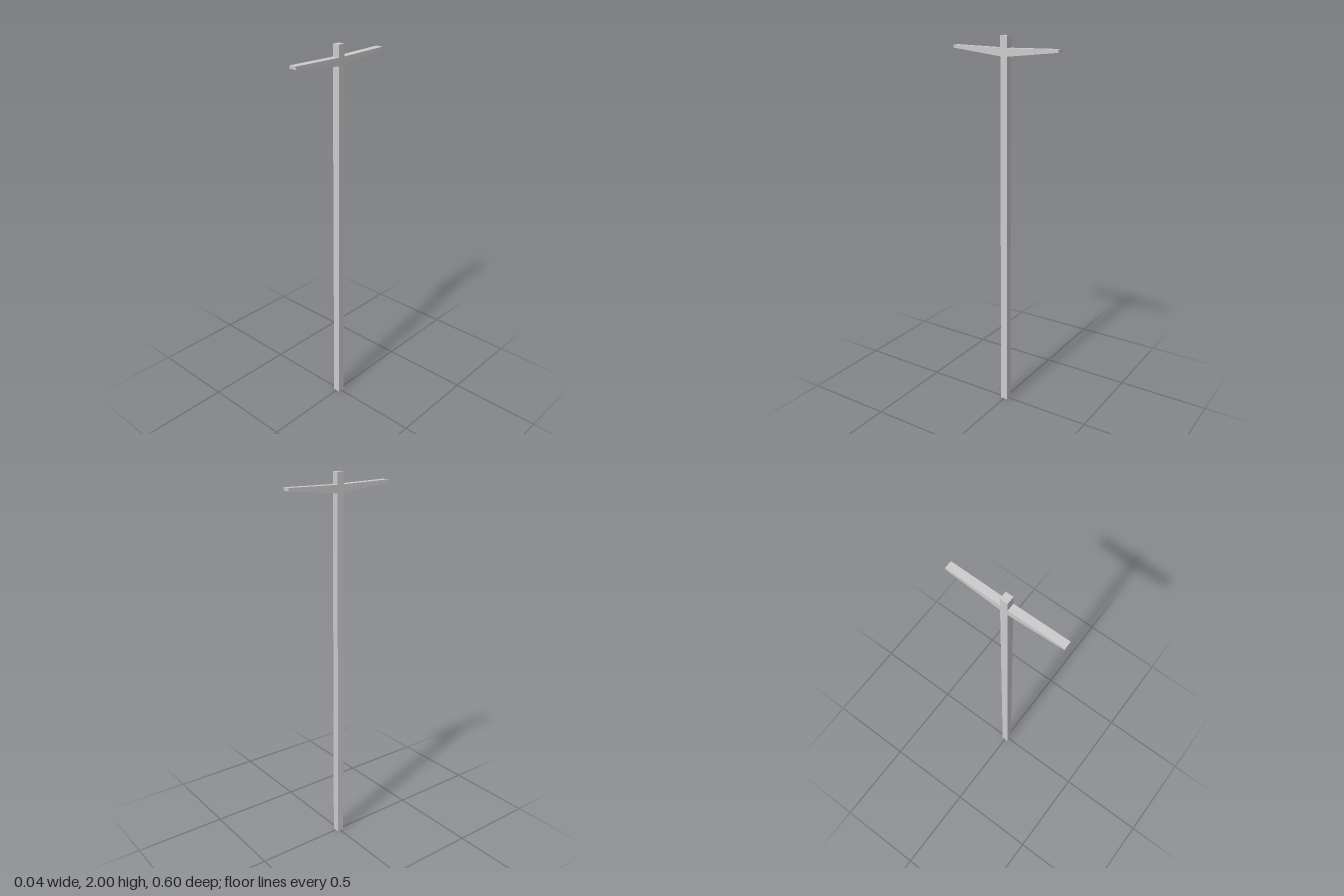
import * as THREE from 'three';

const HALF = 0.0192; // half width of the square post and of the arms
const REACH = 0.298; // distance from the post axis to an arm tip

export function createModel() {
  const group = new THREE.Group();
  const material = new THREE.MeshStandardMaterial({ color: 0xcccccc, flatShading: true });

  // Square post
  const post = new THREE.Mesh(new THREE.BoxGeometry(2 * HALF, 2, 2 * HALF), material);
  post.name = 'post';
  post.position.y = 1;
  group.add(post);

  // Tapered arm profile: thick at the post, thin at the slightly raised tip
  const profile = new THREE.Shape([
    new THREE.Vector2(HALF, 1.901),
    new THREE.Vector2(REACH, 1.931),
    new THREE.Vector2(REACH, 1.946),
    new THREE.Vector2(HALF, 1.941),
  ]);
  const armGeometry = new THREE.ExtrudeGeometry(profile, { depth: 2 * HALF, bevelEnabled: false });
  armGeometry.translate(0, 0, -HALF);

  // One arm to the front, one to the back
  for (const [name, angle] of [['frontArm', -Math.PI / 2], ['backArm', Math.PI / 2]]) {
    const arm = new THREE.Mesh(armGeometry, material);
    arm.name = name;
    arm.rotation.y = angle;
    group.add(arm);
  }

  return group;
}
